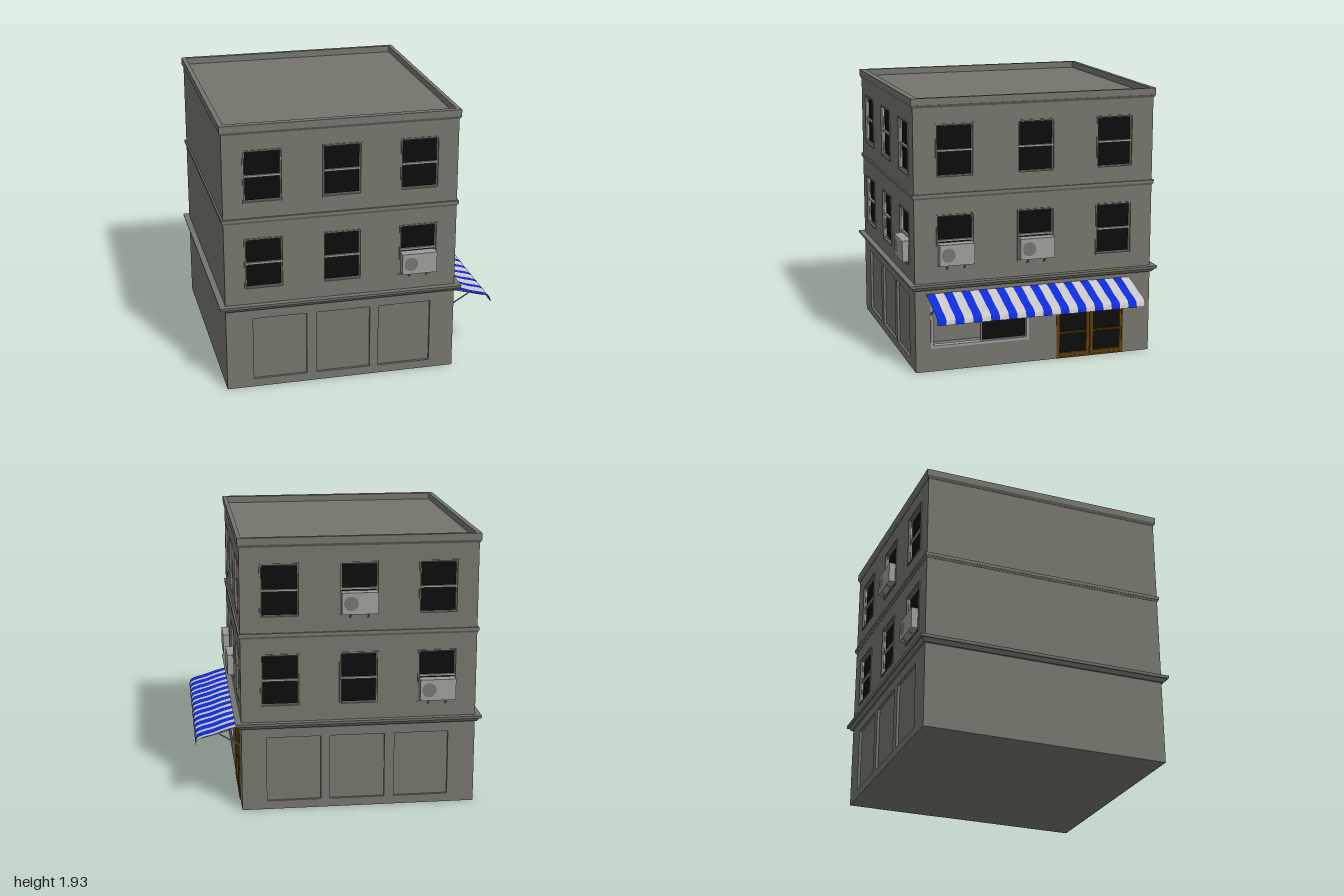
import * as THREE from 'three';
import { mergeGeometries } from 'three/addons/utils/BufferGeometryUtils.js';

const mat = (name, color, side = THREE.FrontSide) => {
  const m = new THREE.MeshStandardMaterial({ color, side });
  m.name = name;
  return m;
};

export function createModel() {
  const model = new THREE.Group();
  model.name = 'cornerBuilding';
  const stone = mat('stone', 0x74756c);
  const glass = mat('darkGlass', 0x0c0c0c);
  const trim = mat('lightGreyMetal', 0x9c9c98);
  const wood = mat('brownWood', 0x5e3c0c);
  const blue = mat('awningBlue', 0x0c2cd8, THREE.DoubleSide);
  const white = mat('awningWhite', 0xcac6c8, THREE.DoubleSide);

  const X0 = -0.955, X1 = 0.685, Z0 = -0.872, Z1 = 0.878, ROOF = 1.885;

  const add = (parent, name, geo, m, x = 0, y = 0, z = 0) => {
    const mesh = new THREE.Mesh(geo, m);
    mesh.name = name;
    mesh.position.set(x, y, z);
    parent.add(mesh);
    return mesh;
  };
  // box given by its limits
  const box = (parent, name, m, x0, x1, y0, y1, z0, z1) =>
    add(parent, name, new THREE.BoxGeometry(x1 - x0, y1 - y0, z1 - z0), m,
      (x0 + x1) / 2, (y0 + y1) / 2, (z0 + z1) / 2);
  const rect = (Type, x0, x1, y0, y1) => new Type([[x0, y0], [x1, y0], [x1, y1], [x0, y1]]
    .map(p => new THREE.Vector2(...p)));
  // slab with rectangular holes, reaching from z0 to z1
  const slab = (parent, name, m, outer, holes, z0, z1) => {
    const s = rect(THREE.Shape, ...outer);
    s.holes = holes.map(h => rect(THREE.Path, ...h));
    return add(parent, name, new THREE.ExtrudeGeometry(s, { depth: z1 - z0, bevelEnabled: false }), m, 0, 0, z0);
  };
  const ring = (parent, name, m, [x0, x1, y0, y1], w, z0, z1) =>
    slab(parent, name, m, [x0, x1, y0, y1], [[x0 + w, x1 - w, y0 + w, y1 - w]], z0, z1);
  const rod = (parent, name, m, a, b, r) => {
    const path = new THREE.LineCurve3(new THREE.Vector3(...a), new THREE.Vector3(...b));
    return add(parent, name, new THREE.TubeGeometry(path, 1, r, 6), m);
  };

  // moulding around the whole building, overhanging by o0 at its foot and o1 at its top
  const band = (name, y0, y1, o0, o1) => {
    const w = X1 - X0, d = Z1 - Z0;
    const g = new THREE.BoxGeometry(w, y1 - y0, d);
    const p = g.attributes.position;
    for (let i = 0; i < p.count; i++) {
      const o = p.getY(i) > 0 ? o1 : o0;
      p.setX(i, p.getX(i) + Math.sign(p.getX(i)) * o);
      p.setZ(i, p.getZ(i) + Math.sign(p.getZ(i)) * o);
    }
    g.computeVertexNormals();
    add(model, name, g, stone, (X0 + X1) / 2, (y0 + y1) / 2, (Z0 + Z1) / 2);
  };

  // window air conditioner, centred on u, y
  const airConditioner = (parent, u, y) => {
    const g = new THREE.Group();
    g.name = 'airConditioner';
    g.position.set(u, y, 0);
    parent.add(g);
    box(g, 'conditionerBody', trim, -0.125, 0.125, -0.075, 0.075, -0.025, 0.05);
    add(g, 'conditionerFan', new THREE.CircleGeometry(0.05, 24), stone, -0.063, 0, 0.0515);
    for (const x of [-0.065, 0.06]) {
      rod(g, 'conditionerBracket', trim, [x, -0.075, 0.042], [x, -0.108, 0], 0.005);
    }
  };

  const WW = 0.275, WH = 0.375, FLOORS = [0.935, 1.565];
  const windowRect = (u, y) => [u - WW / 2, u + WW / 2, y - WH / 2, y + WH / 2];
  const sashWindow = (parent, u, y) => {
    const g = new THREE.Group();
    g.name = 'sashWindow';
    parent.add(g);
    const r = windowRect(u, y);
    ring(g, 'windowCasing', stone, r, 0.01, -0.02, 0.006);
    const i = [r[0] + 0.01, r[1] - 0.01, r[2] + 0.01, r[3] - 0.01];
    ring(g, 'windowSash', trim, i, 0.007, -0.025, -0.01);
    box(g, 'meetingRail', trim, i[0], i[1], y - 0.007, y + 0.007, -0.025, -0.006);
    box(g, 'windowPane', glass, r[0], r[1], r[2], r[3], -0.028, -0.02);
  };

  // one windowed side: wall with openings, windows and air conditioners
  const facade = (name, u0, u1, columns, openings, units, depth) => {
    const g = new THREE.Group();
    g.name = name;
    model.add(g);
    const windows = columns.flatMap(u => FLOORS.map(y => [u, y]));
    slab(g, 'wall', stone, [u0, u1, 0, ROOF - 0.005],
      [...windows.map(w => windowRect(...w)), ...openings], -depth, 0);
    windows.forEach(w => sashWindow(g, ...w));
    units.forEach(([c, f]) => airConditioner(g, columns[c], FLOORS[f] - 0.092));
    return g;
  };

  // solid core and mouldings
  const T = 0.03, NICHE = 0.14;
  box(model, 'buildingCore', stone, X0, X1 - NICHE, 0, ROOF - 0.005, Z0 + T, Z1 - T);
  band('lowerLedgeFoot', 0.595, 0.62, 0.012, 0.03);
  band('lowerLedge', 0.62, 0.64, 0.038, 0.042);
  band('middleLedgeFoot', 1.235, 1.25, 0.002, 0.01);
  band('middleLedge', 1.25, 1.272, 0.012, 0.012);
  band('corniceFoot', 1.865, ROOF, 0.002, 0.014);
  const parapet = slab(model, 'parapet', stone, [X0 - 0.012, X1 + 0.012, -Z1 - 0.014, -Z0 + 0.014],
    [[-0.933, 0.668, -0.845, 0.853]], 0, 1.932 - ROOF);
  parapet.rotation.x = -Math.PI / 2;
  parapet.position.y = ROOF;

  // front and back, with three sunken panels on the ground floor
  const COLS = [-0.68, -0.132, 0.413];
  const PANELS = [[-0.765, -0.385], [-0.315, 0.07], [0.132, 0.51]];
  const flip = ([a, b]) => [-b, -a];
  const panelled = (name, u0, u1, cols, panels, units) => {
    const g = facade(name, u0, u1, cols, panels.map(p => [...p, 0.06, 0.525]), units, T);
    panels.forEach(([a, b]) => box(g, 'sunkenPanel', stone, a, b, 0.06, 0.525, -T, -0.018));
    return g;
  };
  panelled('frontFacade', X0, X1, COLS, PANELS, [[2, 0]]).position.z = Z1;
  const back = panelled('backFacade', -X1, -X0, COLS.map(u => -u), PANELS.map(flip), [[0, 0], [1, 1]]);
  back.position.z = Z0;
  back.rotation.y = Math.PI;

  // shop side, facing +x
  const shopRect = [-0.77, -0.05, 0.17, 0.5], doorRect = [0.16, 0.67, 0, 0.49];
  const shop = facade('shopFacade', -Z1 + T, -Z0 - T, [-0.585, 0, 0.585],
    [shopRect, [0.16, 0.67, 0.004, 0.49]], [[0, 0], [1, 0]], NICHE);
  shop.position.x = X1;
  shop.rotation.y = Math.PI / 2;

  // sliding shop window, its left half open
  ring(shop, 'shopWindowFrame', trim, shopRect, 0.018, -0.04, 0.008);
  ring(shop, 'slidingSash', trim, [-0.402, -0.062, 0.182, 0.488], 0.009, -0.03, -0.012);
  box(shop, 'shopWindowPane', glass, -0.4, -0.06, 0.18, 0.49, -0.028, -0.02);

  // double door
  const [d0, d1, , dTop] = doorRect, dMid = (d0 + d1) / 2;
  box(shop, 'doorGlass', glass, d0, d1, 0.004, dTop, -0.028, -0.02);
  for (const [a, b] of [[d0, dMid - 0.002], [dMid + 0.002, d1]]) {
    slab(shop, 'doorLeaf', wood, [a, b, 0.002, dTop],
      [[a + 0.026, b - 0.024, 0.036, 0.18], [a + 0.026, b - 0.024, 0.19, dTop - 0.03]], -0.022, 0);
  }
  ring(shop, 'doorFrame', wood, [d0, d1, 0.001, dTop], 0.01, -0.02, 0.005);

  // striped awning: one gently rippled strip of cloth for each stripe
  const profile = new THREE.CatmullRomCurve3([[X1, 0.565], [0.78, 0.54], [0.87, 0.508], [0.945, 0.488],
    [0.985, 0.468], [0.996, 0.43]].map(([x, y]) => new THREE.Vector3(x, y, 0)));
  const STRIPES = 24, ZA = 0.8, ZB = -0.71, step = (ZA - ZB) / STRIPES;
  const strips = [[], []];
  for (let s = 0; s < STRIPES; s++) {
    const g = new THREE.PlaneGeometry(1, 1, 3, 14);
    const p = g.attributes.position;
    for (let i = 0; i < p.count; i++) {
      const t = 0.5 - p.getY(i);
      const z = ZA - step * (s + 0.5 + p.getX(i));
      const c = profile.getPoint(t);
      const ripple = 0.004 * Math.sin(z * 50) * Math.sin(t * Math.PI);
      p.setXYZ(i, c.x, c.y + ripple, z);
    }
    g.computeVertexNormals();
    strips[s % 2].push(g);
  }
  add(model, 'awningBlueStripes', mergeGeometries(strips[0]), blue);
  add(model, 'awningWhiteStripes', mergeGeometries(strips[1]), white);
  for (const z of [0.77, -0.68]) {
    rod(model, 'awningStrut', trim, [X1, 0.415, z], [0.84, 0.51, z], 0.005);
    rod(model, 'awningArm', trim, [X1, 0.55, z], [0.95, 0.478, z], 0.004);
  }
  return model;
}
